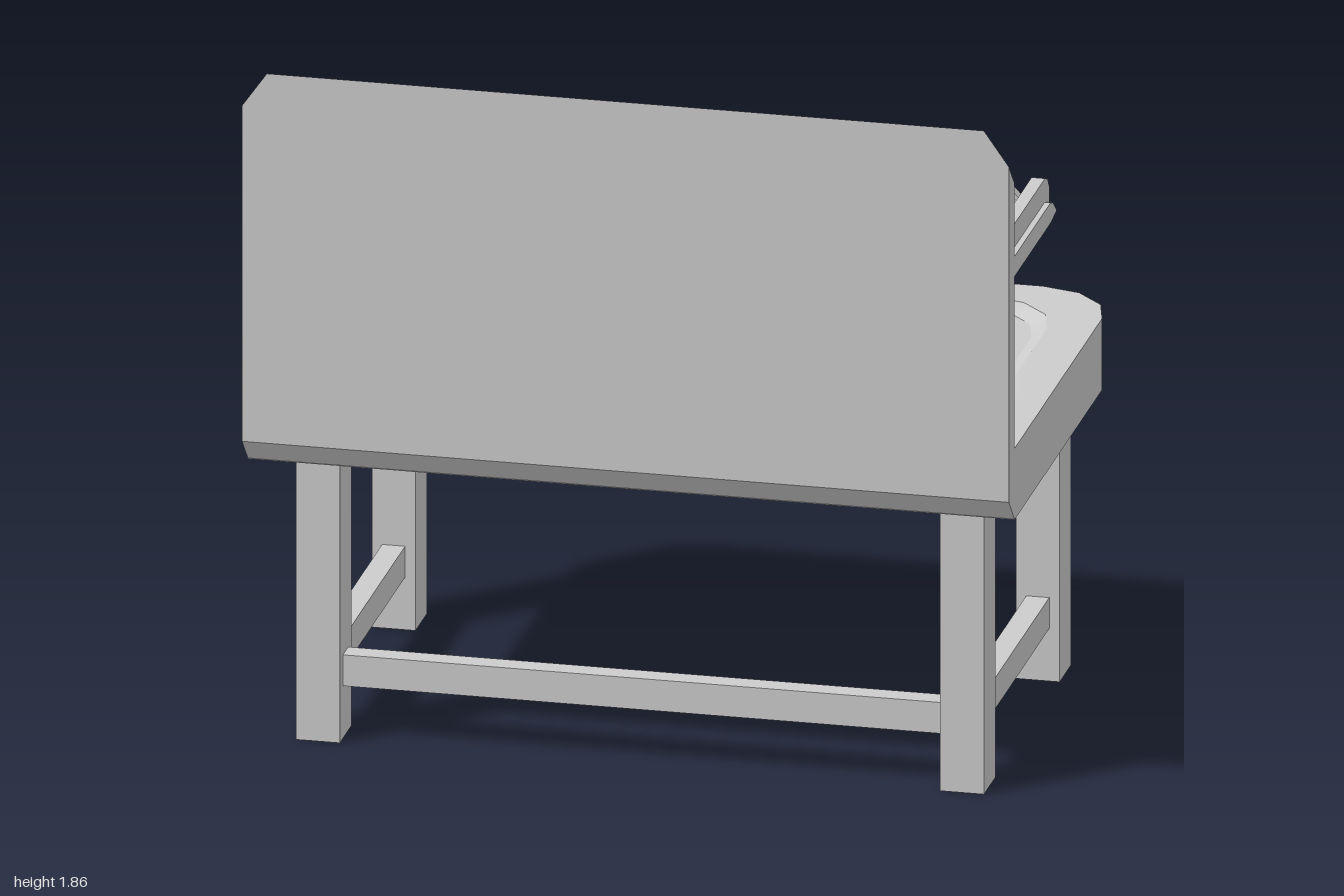
import * as THREE from 'three';
import { toCreasedNormals } from 'three/addons/utils/BufferGeometryUtils.js';

const material = new THREE.MeshStandardMaterial({ color: 0xcccccc });

function add(group, name, geometry, x = 0, y = 0, z = 0) {
  const mesh = new THREE.Mesh(geometry, material);
  mesh.name = name;
  mesh.position.set(x, y, z);
  group.add(mesh);
}

function extrude(points, depth) {
  const shape = new THREE.Shape(points.map(([u, v]) => new THREE.Vector2(u, v)));
  return new THREE.ExtrudeGeometry(shape, { depth, bevelEnabled: false });
}

// Extrude a side profile of [z, y] points across the width, centred on x = 0
function extrudeAcross(points, width) {
  return extrude(points, width).rotateY(-Math.PI / 2).translate(width / 2, 0, 0);
}

// Horizontal loop with separately rounded ends, counter-clockwise from above
function roundedLoop(halfX, zMin, zMax, rMin, rMax, y) {
  const steps = 3, loop = [];
  const corners = [[1, zMax, rMax, 1], [1, zMin, rMin, -1], [-1, zMin, rMin, -1], [-1, zMax, rMax, 1]];
  corners.forEach(([sx, z, r, sz], c) => {
    for (let i = 0; i <= steps; i++) {
      const a = ((c - 1) * 90 + (i / steps) * 90) * Math.PI / 180;
      loop.push([sx * (halfX - r) + r * Math.cos(a), y, z - sz * r - r * Math.sin(a)]);
    }
  });
  return loop;
}

// Skin a stack of loops and close both ends with fans
function loft(loops, crease) {
  const n = loops[0].length, positions = loops.flat(2), index = [];
  for (let k = 0; k < loops.length - 1; k++) {
    for (let i = 0; i < n; i++) {
      const j = (i + 1) % n, a = k * n, b = a + n;
      index.push(a + i, a + j, b + j, a + i, b + j, b + i);
    }
  }
  const last = (loops.length - 1) * n;
  for (let i = 1; i < n - 1; i++) {
    index.push(0, i + 1, i, last, last + i, last + i + 1);
  }
  const geometry = new THREE.BufferGeometry();
  geometry.setAttribute('position', new THREE.Float32BufferAttribute(positions, 3));
  geometry.setIndex(index);
  return toCreasedNormals(geometry, crease);
}

export function createModel() {
  const model = new THREE.Group();
  model.name = 'workbench';

  // Thick top with rounded corners, hollow underneath, with a shallow tray above
  add(model, 'benchTop', loft([
    roundedLoop(0.95, -0.575, 0.51, 0.16, 0, 0.85),
    roundedLoop(0.95, -0.575, 0.51, 0.16, 0, 0.787),
    roundedLoop(1, -0.625, 0.56, 0.2, 0, 0.787),
    roundedLoop(1, -0.625, 0.56, 0.2, 0, 0.98),
    roundedLoop(0.88, -0.522, 0.44, 0.2, 0.08, 0.98),
    roundedLoop(0.84, -0.508, 0.4, 0.19, 0.06, 0.954),
  ], 0.54));

  // Upright panel with clipped top corners; its top and bottom edges slope
  const panel = extrude([[-1, 0.787], [1, 0.787], [1, 1.695], [0.935, 1.787], [-0.935, 1.787], [-1, 1.695]], 0.067);
  const p = panel.attributes.position;
  for (let i = 0; i < p.count; i++) p.setY(i, p.getY(i) + p.getZ(i) * 1.05);
  panel.computeVertexNormals();
  add(model, 'backPanel', panel, 0, 0, 0.558);

  // Shelf with a sloping nose
  add(model, 'shelf', extrudeAcross(
    [[0.56, 1.445], [0.56, 1.5], [0.155, 1.5], [0.125, 1.49], [0.085, 1.455], [0.15, 1.445]], 2));

  // Low rail along the shelf edge, with sloping ends
  add(model, 'shelfFrontRail', extrude([[-0.94, 1.48], [0.94, 1.48], [0.88, 1.545], [-0.88, 1.545]], 0.03), 0, 0, 0.123);

  for (const side of [-1, 1]) {
    const s = side > 0 ? 'left' : 'right';

    // Shelf end rail, turned down over the nose
    add(model, s + 'ShelfRail', extrudeAcross(
      [[0.545, 1.49], [0.545, 1.563], [0.15, 1.563], [0.12, 1.55], [0.102, 1.525], [0.102, 1.46], [0.16, 1.48]],
      0.035), side * 0.967);

    // Curved bracket under the shelf
    add(model, s + 'ShelfBracket', extrudeAcross(
      [[0.56, 1.2], [0.5, 1.29], [0.41, 1.373], [0.33, 1.418], [0.25, 1.445], [0.56, 1.445]],
      0.03), side * 0.847);

    // Legs and side stretcher
    for (const [end, z] of [['Front', 0.395], ['Rear', -0.457]]) {
      add(model, s + end + 'Leg', new THREE.BoxGeometry(0.114, 0.85, 0.13), side * 0.84, 0.425, z);
    }
    add(model, s + 'Stretcher', new THREE.BoxGeometry(0.06, 0.084, 0.722), side * 0.84, 0.184, -0.031);
  }

  // Long stretcher under the panel
  add(model, 'longStretcher', new THREE.BoxGeometry(1.566, 0.084, 0.06), 0, 0.184, 0.395);

  return model;
}
